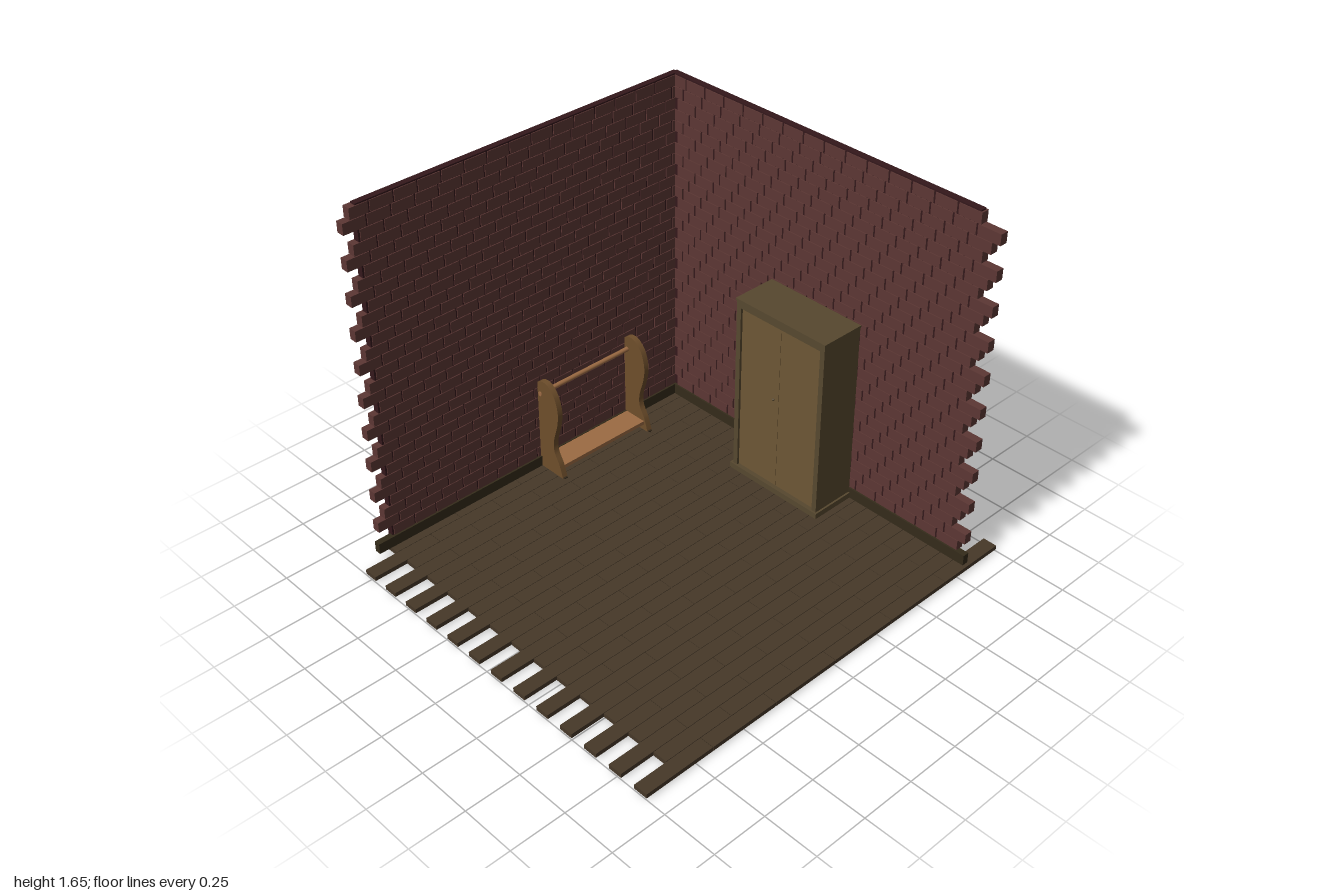
import * as THREE from 'three';
import { mergeGeometries } from 'three/addons/utils/BufferGeometryUtils.js';

const mat = (color) => new THREE.MeshStandardMaterial({ color });
const BRICK = mat(0x5c3734), MORTAR = mat(0x34181b), FLOOR = mat(0x463828), JOINT = mat(0x2c2416);
const SKIRTING = mat(0x342b1a), FRAME = mat(0x57482f), DOOR = mat(0x6d5635);
const SIDE = mat(0x6e4e2b), SHELF = mat(0x9c6b43), DARK = mat(0x33281a);

// Box geometry given by its minimum and maximum corners
function span(x0, x1, y0, y1, z0, z1) {
  return new THREE.BoxGeometry(x1 - x0, y1 - y0, z1 - z0)
    .translate((x0 + x1) / 2, (y0 + y1) / 2, (z0 + z1) / 2);
}

function add(parent, name, geometry, material) {
  const mesh = new THREE.Mesh(geometry, material);
  mesh.name = name;
  parent.add(mesh);
  return mesh;
}

// Wall along x, inner face at z = 0, outer face at z = -thick; three-row bond with toothed ends
function brickWall(name, start, end, slabStart, slabEnd, thick) {
  const wall = new THREE.Group();
  wall.name = name;
  const top = 1.645, rows = 30, h = 0.0523, count = 16, len = (end - start) / count;
  const bricks = [];
  for (let r = 0; r < rows; r++) {
    const kind = (r + 2) % 3; // 0: full row, 1 and 2: set back by a third of a brick each
    const y = top - r * h;
    const right = r === 0 ? end - len * 0.85 : end - kind * len / 3;
    const n = kind === 0 ? count : count - 1;
    const left = kind === 0 ? start : Math.max(start + 0.035, right - n * len);
    for (let i = 0; i < n; i++) {
      const b = right - i * len;
      const a = Math.max(left, b - len);
      if (b - a < 0.02) continue;
      bricks.push(span(a + 0.004, b - (i ? 0.004 : 0), y - h + 0.0015, y - 0.0015, -thick, 0));
    }
  }
  add(wall, 'bricks', mergeGeometries(bricks), BRICK);
  add(wall, 'mortar', span(slabStart, slabEnd, 0.028, 1.65, -thick + 0.004, -0.004), MORTAR);
  add(wall, 'skirtingBoard', span(start - 0.008, end + 0.008, 0.028, 0.078, -thick * 0.6, 0.008), SKIRTING);
  return wall;
}

// Alternating long and short columns of floorboards, each cut into lengths
function floor() {
  const g = new THREE.Group();
  g.name = 'floor';
  const w = 0.0679, x0 = -0.858, boards = [];
  for (let c = 0; c < 26; c++) {
    const long = c % 2 === 1;
    const half = long ? 1 : 0.84, n = long ? 6 : 5, len = 2 * half / n;
    for (let i = 0; i < n; i++) {
      const z = -half + i * len;
      boards.push(span(x0 + c * w + 0.001, x0 + (c + 1) * w - 0.001, 0.008, 0.028,
        z + (i ? 0.0015 : 0), z + len - (i < n - 1 ? 0.0015 : 0)));
    }
  }
  add(g, 'floorboards', mergeGeometries(boards), FLOOR);
  add(g, 'boardJoints', span(x0 + 0.002, 0.905, 0.011, 0.025, -0.835, 0.835), JOINT);
  return g;
}

// Cupboard with a raised frame round two recessed doors
function cupboard() {
  const g = new THREE.Group();
  g.name = 'cupboard';
  const back = -0.803, front = -0.59;
  add(g, 'plinth', span(-0.25, 0.265, 0.028, 0.055, back, -0.582), FRAME);
  add(g, 'leftPanel', span(0.232, 0.256, 0.055, 0.9, back, front), FRAME);
  add(g, 'rightPanel', span(-0.238, -0.214, 0.055, 0.9, back, front), FRAME);
  add(g, 'topPanel', span(-0.214, 0.232, 0.868, 0.9, back, front), FRAME);
  add(g, 'lid', span(-0.242, 0.26, 0.9, 0.91, back, front + 0.004), FRAME);
  add(g, 'backPanel', span(-0.214, 0.232, 0.055, 0.868, back, back + 0.015), FRAME);
  for (const s of [-1, 1]) {
    const a = 0.009 + s * 0.0008, b = 0.009 + s * 0.222;
    add(g, s > 0 ? 'leftDoor' : 'rightDoor',
      span(Math.min(a, b), Math.max(a, b), 0.058, 0.866, front - 0.028, front - 0.01), DOOR);
  }
  const knob = add(g, 'knob', new THREE.SphereGeometry(0.006, 10, 8), FRAME);
  knob.position.set(-0.02, 0.5, front - 0.008);
  return g;
}

// Rack with two curved side boards, a low shelf and a rail
function rack() {
  const g = new THREE.Group();
  g.name = 'rack';
  const shape = new THREE.Shape();
  shape.moveTo(-0.835, 0.02);
  shape.lineTo(-0.69, 0.02);
  shape.splineThru([[-0.712, 0.09], [-0.742, 0.15], [-0.742, 0.21], [-0.716, 0.3], [-0.709, 0.37],
    [-0.728, 0.44], [-0.765, 0.481], [-0.8, 0.49], [-0.835, 0.475], [-0.852, 0.44]]
    .map(([x, y]) => new THREE.Vector2(x, y)));
  shape.lineTo(-0.852, 0.1);
  shape.closePath();
  const board = new THREE.ExtrudeGeometry(shape, { depth: 0.026, bevelEnabled: false, curveSegments: 30 });
  for (const z of [0, -0.507]) {
    add(g, 'sideBoard', board, SIDE).position.z = z - 0.013;
    add(g, 'foot', span(-0.83, -0.685, 0, 0.032, z - 0.009, z + 0.009), DARK);
  }
  add(g, 'shelf', span(-0.832, -0.715, 0.058, 0.076, -0.5, -0.006), SHELF);
  const rail = add(g, 'rail', new THREE.CylinderGeometry(0.011, 0.011, 0.54, 12), SHELF);
  rail.rotation.x = Math.PI / 2;
  rail.position.set(-0.82, 0.42, -0.2535);
  return g;
}

export function createModel() {
  const model = new THREE.Group();
  model.name = 'roomCorner';

  const backWall = brickWall('backWall', -0.9, 0.882, -0.86, 0.78, 0.037);
  backWall.position.z = -0.806;

  // Turned so that its inner face looks towards +x
  const sideWall = brickWall('sideWall', -0.89, 0.9, -0.82, 0.83, 0.037);
  sideWall.rotation.y = Math.PI / 2;
  sideWall.position.x = -0.838;

  model.add(floor(), backWall, sideWall, cupboard(), rack());
  return model;
}
